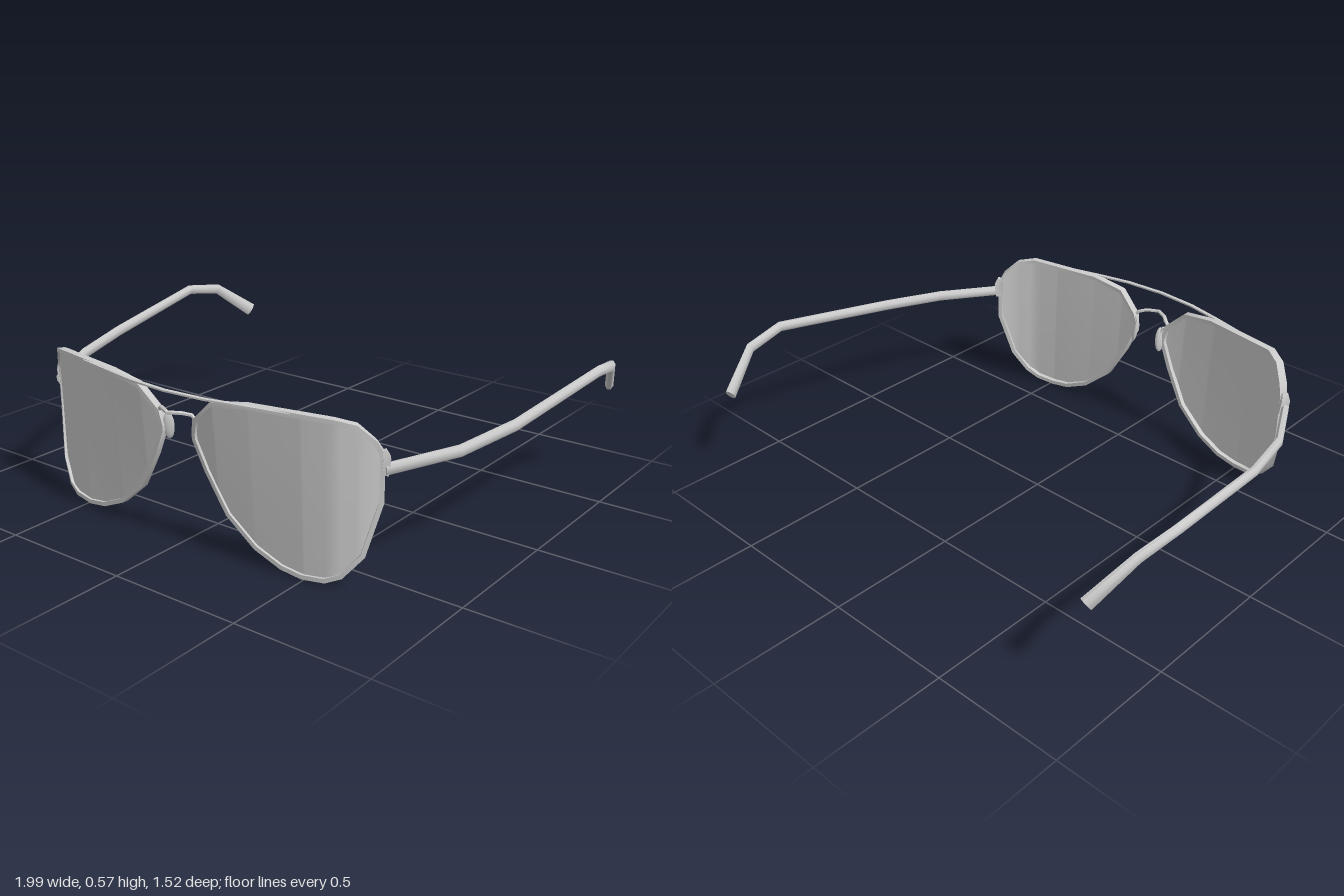
import * as THREE from 'three';
import { toCreasedNormals } from 'three/addons/utils/BufferGeometryUtils.js';

const V = (x, y, z) => new THREE.Vector3(x, y, z);
const material = new THREE.MeshStandardMaterial({ color: 0xcccccc, side: THREE.DoubleSide });

// Lens outline (x, y): over the top from the nose corner to the temple, then back underneath
const upper = [[0.075, 0.42], [0.085, 0.47], [0.165, 0.545], [0.3, 0.565], [0.6, 0.567],
  [0.66, 0.552], [0.705, 0.5], [0.722, 0.46]];
const lower = [[0.075, 0.4], [0.12, 0.3], [0.2, 0.16], [0.31, 0.067], [0.41, 0.023], [0.49, 0.011],
  [0.57, 0.017], [0.62, 0.042], [0.68, 0.12], [0.722, 0.3]];
// Wrap of the lens: depth z along x
const wrap = [[0.05, 0.672], [0.16, 0.68], [0.3, 0.674], [0.5, 0.655], [0.6, 0.633], [0.68, 0.588], [0.73, 0.54]];

function interpolate(table, x) {
  let i = 1;
  while (i < table.length - 1 && table[i][0] < x) i++;
  const [x0, y0] = table[i - 1], [x1, y1] = table[i];
  return y0 + (y1 - y0) * THREE.MathUtils.clamp((x - x0) / (x1 - x0), 0, 1);
}
const depth = (x, y) => interpolate(wrap, x) + 0.1 * (1 - x / 0.75) * (y - 0.3);

function buildGeometry(positions, index) {
  const geometry = new THREE.BufferGeometry();
  geometry.setAttribute('position', new THREE.Float32BufferAttribute(positions, 3));
  geometry.setIndex(index);
  geometry.computeVertexNormals();
  return geometry;
}

// Sweep an elliptical or four-sided section along a path; size(i) gives [half width, half height],
// and up(p) sets the direction of the height
function sweep(points, size, { sides = 8, closed = false, up = () => V(0, 1, 0) } = {}) {
  const n = points.length, positions = [], index = [];
  const box = sides === 4;
  points.forEach((p, i) => {
    const prev = points[closed ? (i + n - 1) % n : Math.max(i - 1, 0)];
    const next = points[closed ? (i + 1) % n : Math.min(i + 1, n - 1)];
    const d0 = p.clone().sub(prev).normalize(), d1 = next.clone().sub(p).normalize();
    const t = d0.add(d1).normalize();
    const side = t.clone().cross(up(p)).normalize();
    const normal = t.clone().cross(side);
    const [w, h] = size(i);
    for (let j = 0; j < sides; j++) {
      const a = (j + 0.5) / sides * Math.PI * 2, k = box ? Math.SQRT2 : 1;
      positions.push(...p.clone().addScaledVector(side, Math.cos(a) * w * k)
        .addScaledVector(normal, Math.sin(a) * h * k).toArray());
    }
  });
  for (let i = 0; i < (closed ? n : n - 1); i++) {
    for (let j = 0; j < sides; j++) {
      const a = i * sides + j, b = i * sides + (j + 1) % sides;
      const m = ((i + 1) % n) * sides, c = m + j, d = m + (j + 1) % sides;
      index.push(a, b, d, a, d, c);
    }
  }
  if (!closed) {
    const e = (n - 1) * sides;
    for (let j = 1; j < sides - 1; j++) index.push(0, j + 1, j, e, e + j, e + j + 1);
  }
  return toCreasedNormals(buildGeometry(positions, index), 0.9);
}

// Lens: vertical columns between the upper and lower outline, bent along the wrap
function lensGeometry(s) {
  const xs = [...new Set([...upper, ...lower, ...wrap].map((p) => p[0]))]
    .filter((x) => x >= 0.075 && x <= 0.722).sort((a, b) => a - b);
  const rows = 4, positions = [], index = [];
  xs.forEach((x, i) => {
    const y0 = interpolate(lower, x), y1 = interpolate(upper, x);
    for (let j = 0; j <= rows; j++) {
      const y = y0 + (y1 - y0) * j / rows;
      positions.push(s * x, y, depth(x, y));
      if (i && j) {
        const d = i * (rows + 1) + j, c = d - 1, b = d - rows - 1, a = b - 1;
        if (s > 0) index.push(a, c, d, a, d, b);
        else index.push(a, d, c, a, b, d);
      }
    }
  });
  return buildGeometry(positions, index);
}

export function createModel() {
  const model = new THREE.Group();
  const add = (name, geometry, parent = model) => {
    const mesh = new THREE.Mesh(geometry, material);
    mesh.name = name;
    parent.add(mesh);
    return mesh;
  };

  for (const [s, label] of [[1, 'left'], [-1, 'right']]) {
    const half = new THREE.Group();
    half.name = label + 'Side';
    model.add(half);
    const path = (list) => list.map(([x, y, z]) => V(s * x, y, z));

    add(label + 'Lens', lensGeometry(s), half);

    // Rim: flat band standing square to the lens surface
    const outline = [...upper, ...lower.slice().reverse()];
    add(label + 'Rim', sweep(path(outline.map(([x, y]) => [x, y, depth(x, y) - 0.004])), () => [0.008, 0.014], {
      sides: 4, closed: true,
      up: (p) => {
        const x = Math.abs(p.x), slope = (interpolate(wrap, x + 0.03) - interpolate(wrap, x - 0.03)) / 0.06;
        return V(-s * slope, 0, 1).normalize();
      },
    }), half);

    // Hinge joining the rim to the temple
    add(label + 'Hinge', sweep(path([[0.728, 0.395, 0.54], [0.735, 0.45, 0.54], [0.728, 0.475, 0.545]]),
      (i) => [[0.012, 0.016], [0.012, 0.016], [0.007, 0.01]][i], { sides: 4, up: () => V(s * 0.6, 0, 0.8) }), half);

    // Temple arm with its thicker, bent-down tip
    const arm = [[0.735, 0.414, 0.55], [0.86, 0.43, 0.31], [0.92, 0.456, 0.06], [0.978, 0.523, -0.44],
      [0.957, 0.498, -0.6], [0.892, 0.38, -0.755]];
    const widths = [0.014, 0.015, 0.016, 0.016, 0.015, 0.017], heights = [0.021, 0.021, 0.021, 0.02, 0.022, 0.03];
    add(label + 'Temple', sweep(path(arm), (i) => [widths[i], heights[i]]), half);

    // Nose pad and its wire
    const pad = add(label + 'NosePad', new THREE.SphereGeometry(1, 10, 8), half);
    pad.scale.set(0.011, 0.052, 0.02);
    pad.position.set(s * 0.063, 0.412, 0.665);
    pad.rotation.set(0.1, s * 0.6, s * 0.1);
    add(label + 'PadWire', sweep(path([[0.085, 0.46, 0.685], [0.07, 0.465, 0.672], [0.063, 0.43, 0.665]]),
      () => [0.005, 0.005], { sides: 6, up: () => V(0, 0, 1) }), half);
  }

  // Brow bar and bridge, mirrored about the centre
  const mirrored = (list) => [...list.map(([x, y, z]) => V(-x, y, z)),
    ...list.slice(0, -1).reverse().map(([x, y, z]) => V(x, y, z))];
  add('browBar', sweep(mirrored([[0.46, 0.567, 0.667], [0.3, 0.57, 0.704], [0.16, 0.571, 0.733], [0, 0.571, 0.745]]),
    () => [0.009, 0.006], { sides: 6 }));
  add('bridge', sweep(mirrored([[0.09, 0.465, 0.688], [0.068, 0.485, 0.692], [0.045, 0.492, 0.712], [0, 0.492, 0.735]]),
    () => [0.008, 0.007], { sides: 6 }));

  return model;
}
